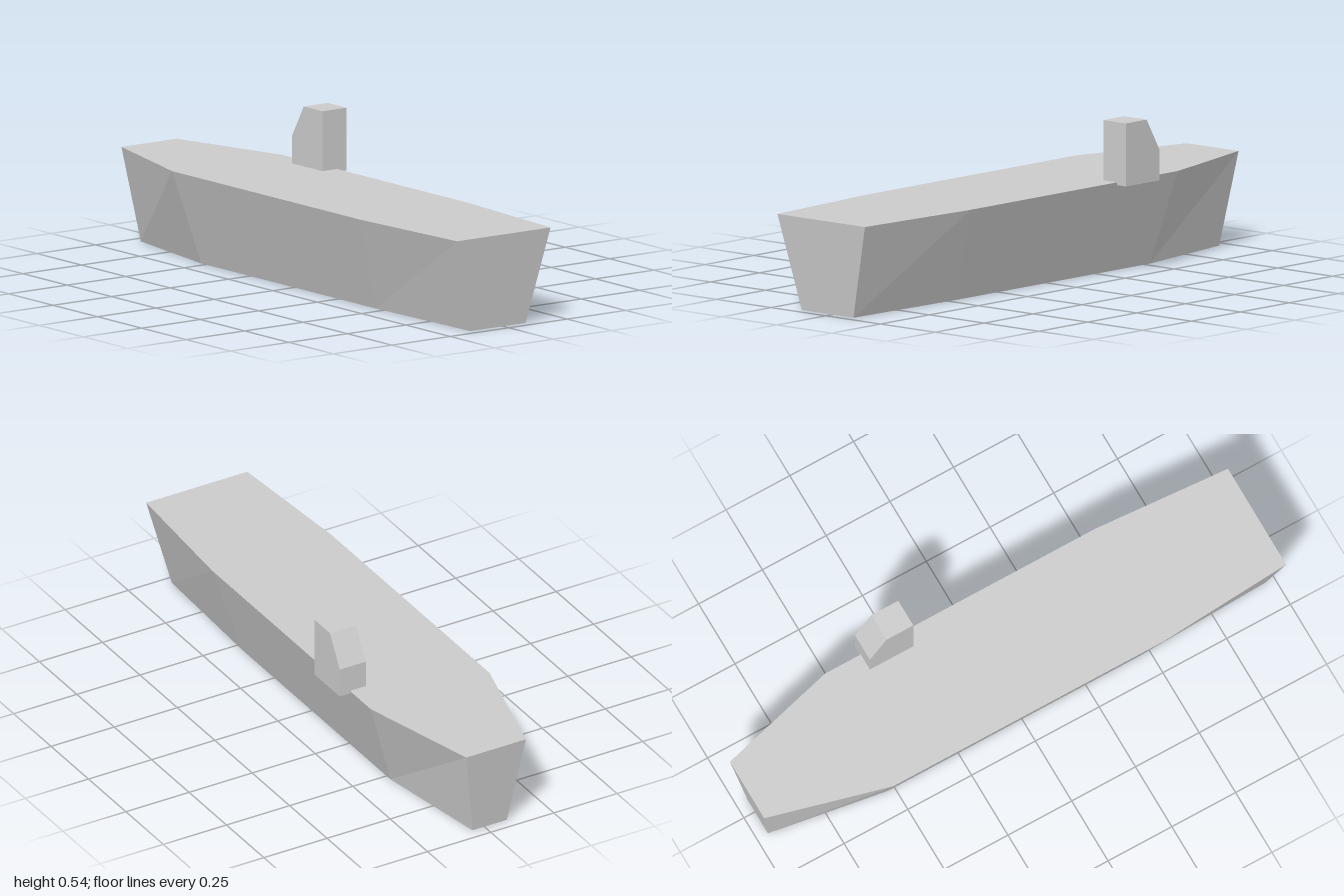
import * as THREE from 'three';

const material = new THREE.MeshStandardMaterial({ color: 0xcccccc, flatShading: true });

// Loft through trapezoid sections: [half width, z] at the deck and at the keel
function loftHull(sections, height, centreX) {
  const pos = [], index = [];
  for (const [topW, topZ, botW, botZ] of sections) {
    pos.push(centreX - topW, height, topZ, centreX + topW, height, topZ);
    pos.push(centreX + botW, 0, botZ, centreX - botW, 0, botZ);
  }
  const quad = (a, b, c, d) => index.push(a, b, c, a, c, d);
  const last = (sections.length - 1) * 4;
  for (let s = 0; s < last; s += 4) {
    for (let i = 0; i < 4; i++) {
      const j = (i + 1) % 4;
      quad(s + i, s + 4 + i, s + 4 + j, s + j);
    }
  }
  quad(0, 1, 2, 3); // stern
  quad(last + 3, last + 2, last + 1, last); // bow
  const geo = new THREE.BufferGeometry();
  geo.setAttribute('position', new THREE.Float32BufferAttribute(pos, 3));
  geo.setIndex(index);
  const flat = geo.toNonIndexed();
  flat.computeVertexNormals();
  return flat;
}

export function createModel() {
  const group = new THREE.Group();

  // Hull, stern to bow
  const hull = new THREE.Mesh(loftHull([
    [0.118, -1, 0.068, -0.957],
    [0.235, -0.56, 0.137, -0.525],
    [0.235, 0.5, 0.137, 0.46],
    [0.2, 1, 0.118, 0.967],
  ], 0.327, -0.021), material);
  hull.name = 'hull';
  group.add(hull);

  // Offset tower with a sloped rear; the profile is drawn as (-z, y)
  const profile = new THREE.Shape([
    [0.25, 0.317], [0.42, 0.317], [0.42, 0.424], [0.355, 0.535], [0.25, 0.535],
  ].map(([x, y]) => new THREE.Vector2(x, y)));
  const towerGeo = new THREE.ExtrudeGeometry(profile, { depth: 0.103, bevelEnabled: false });
  towerGeo.rotateY(Math.PI / 2);
  towerGeo.translate(0.151, 0, 0);
  const tower = new THREE.Mesh(towerGeo, material);
  tower.name = 'controlTower';
  group.add(tower);

  return group;
}
